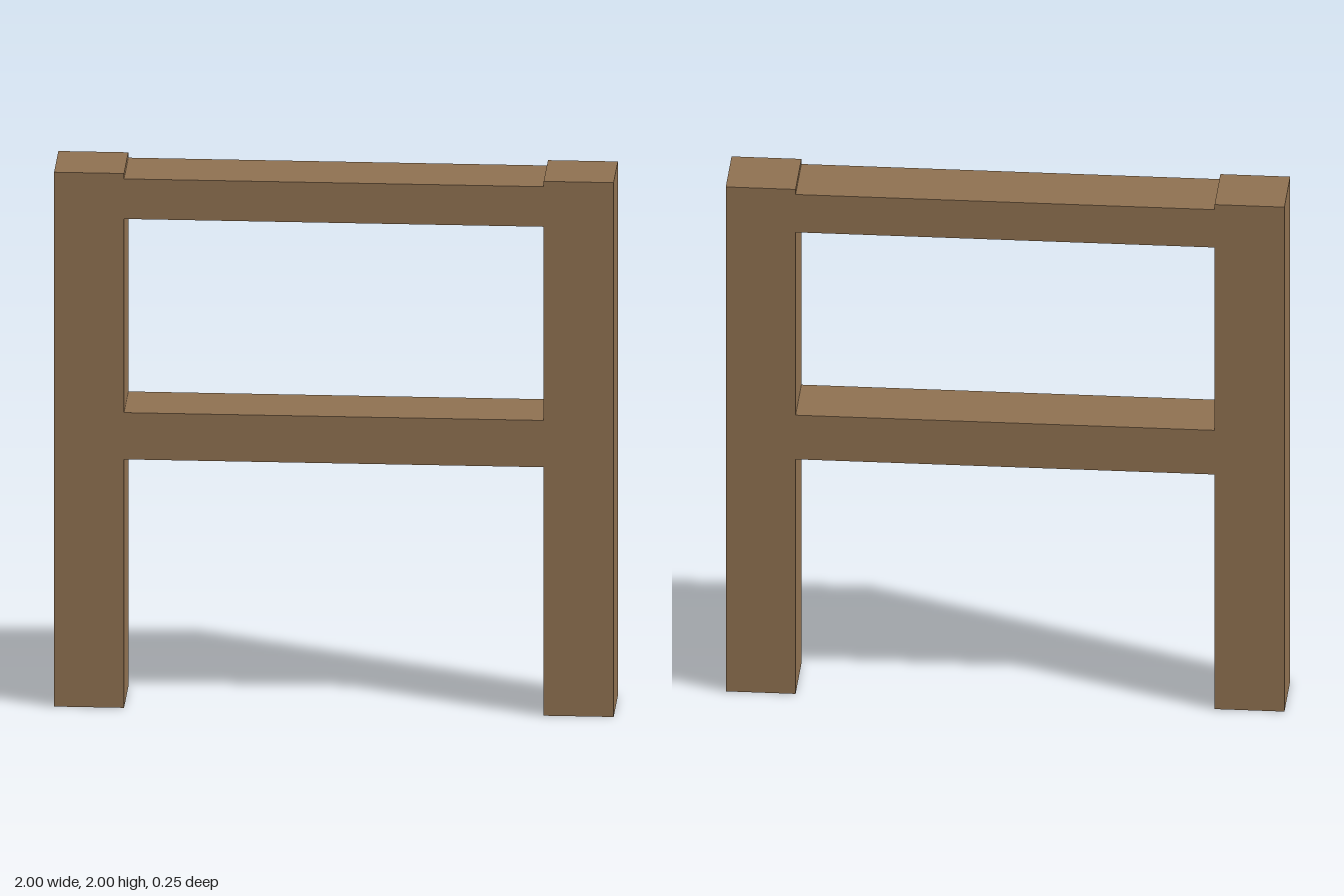
import * as THREE from 'three';

const DEPTH = 0.25;
const POST_WIDTH = 0.25;
const RAIL_LENGTH = 2 - 2 * POST_WIDTH;

export function createModel() {
  const group = new THREE.Group();
  group.name = 'fenceFrame';
  const wood = new THREE.MeshStandardMaterial({ color: 0x8e7050 });

  // Box beam spanning bottom..top, centred on x
  const beam = (name, width, bottom, top, x) => {
    const mesh = new THREE.Mesh(new THREE.BoxGeometry(width, top - bottom, DEPTH), wood);
    mesh.name = name;
    mesh.position.set(x, (bottom + top) / 2, 0);
    group.add(mesh);
  };

  // Upright posts
  const postX = 1 - POST_WIDTH / 2;
  beam('leftPost', POST_WIDTH, 0, 2, postX);
  beam('rightPost', POST_WIDTH, 0, 2, -postX);

  // Horizontal rails butted between the posts
  beam('topRail', RAIL_LENGTH, 1.83, 1.98, 0);
  beam('middleRail', RAIL_LENGTH, 0.93, 1.105, 0);

  return group;
}
